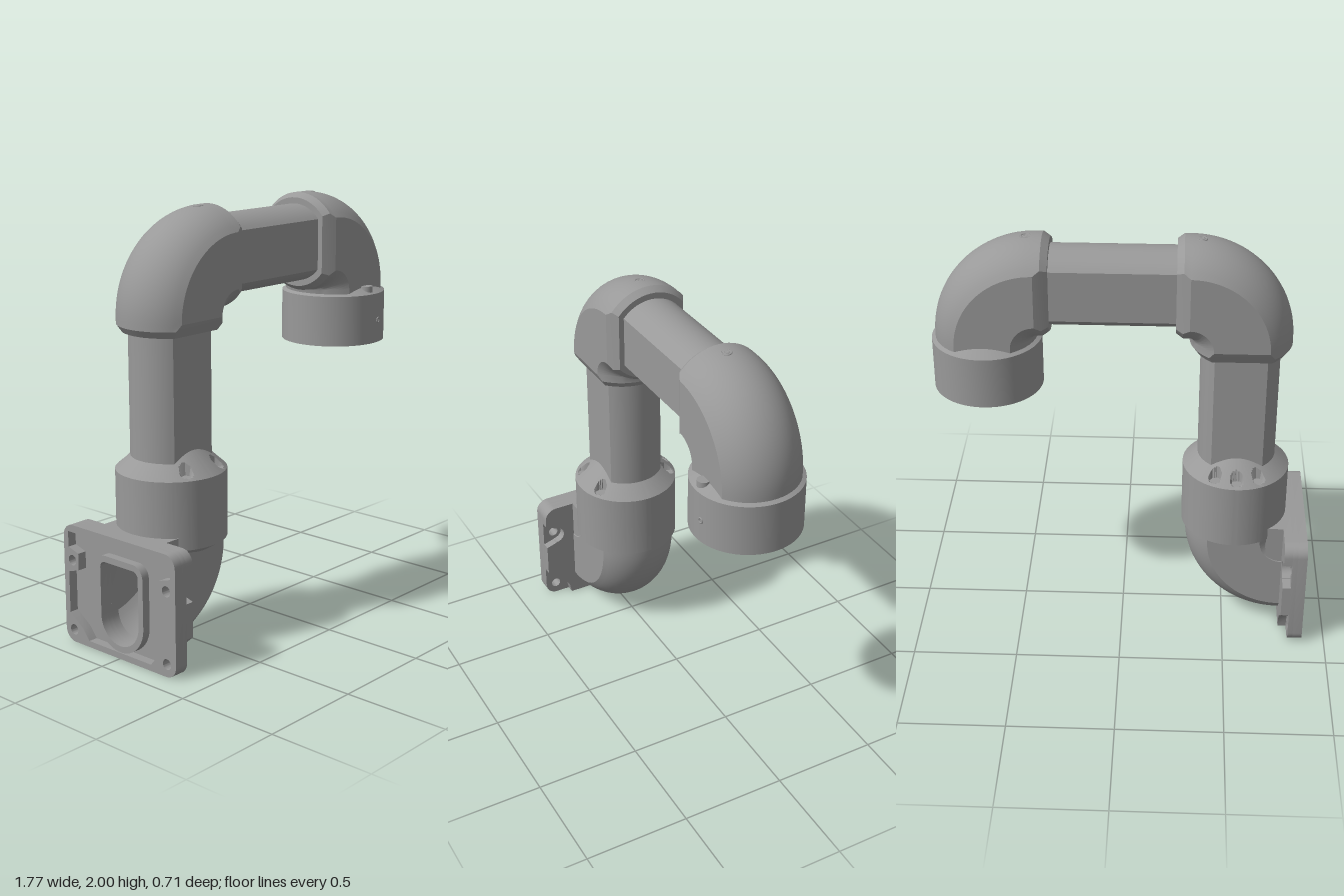
import * as THREE from 'three';
import { toCreasedNormals } from 'three/addons/utils/BufferGeometryUtils.js';

const grey = new THREE.MeshStandardMaterial({ color: 0x999999, side: THREE.DoubleSide });
grey.name = 'mid grey';

const BEND = 0.238, R = 0.237, W = 0.2;      // elbow bend radius, section radius, half width
const ARM_X = -0.5425, ARM_Y = 1.765, END_X = 0.63;

// Circle of radius r with flat sides cut at z = +-w, as [u, z] pairs
function section(r, w) {
  const m = Math.asin(w / r), pts = [];
  for (const mid of [0, Math.PI])
    for (let i = 0; i <= 16; i++) {
      const a = mid - m + (2 * m * i) / 16;
      pts.push([r * Math.cos(a), -r * Math.sin(a)]);
    }
  return pts;
}

// Skin over rings of equal point count
function loft(rings, capStart = true, capEnd = true) {
  const n = rings[0].length, pos = rings.flat(2), idx = [];
  for (let i = 0; i < rings.length - 1; i++)
    for (let j = 0; j < n; j++) {
      const a = i * n + j, b = i * n + (j + 1) % n;
      idx.push(a, b, b + n, a, b + n, a + n);
    }
  const last = (rings.length - 1) * n;
  for (let j = 1; j < n - 1; j++) {
    if (capStart) idx.push(0, j + 1, j);
    if (capEnd) idx.push(last, last + j, last + j + 1);
  }
  const g = new THREE.BufferGeometry();
  g.setAttribute('position', new THREE.Float32BufferAttribute(pos, 3));
  g.setIndex(idx);
  return toCreasedNormals(g, 0.45);
}

// Quarter elbow round the origin: starts pointing down at angle 0, ends pointing to -x at 90 degrees.
// Each end is a list of [distance out, radius, half width], nearest first.
function elbow(endA, endB, openA) {
  const ring = (angle, out, r, w) => {
    const c = Math.cos(angle), s = Math.sin(angle);
    return section(r, w).map(([u, z]) => [(BEND + u) * c - out * s, (BEND + u) * s + out * c, z]);
  };
  const rings = [...endA].reverse().map(([d, r, w]) => ring(0, -d, r, w));
  for (let i = 0; i <= 24; i++) rings.push(ring((i / 24) * Math.PI / 2, 0, R, W));
  for (const [d, r, w] of endB) rings.push(ring(Math.PI / 2, d, r, w));
  return loft(rings, !openA);
}

const pipe = (length) => loft([0, length].map((y) => section(0.185, 0.14).map(([u, z]) => [u, y, z])));

function lathe(points, segs = 96) {
  return new THREE.LatheGeometry(points.map(([x, y]) => new THREE.Vector2(x, y)), segs);
}

// Closed shape from half an outline, mirrored across the middle
function mirrored(half, Type = THREE.Shape) {
  const pts = half.map(([s, y]) => new THREE.Vector2(s, y));
  const other = half.map(([s, y]) => new THREE.Vector2(-s, y)).reverse();
  return new Type([...pts, ...other]);
}

// Points of an arc from angle a to b
function arc(cx, cy, r, a, b, n = 8) {
  return Array.from({ length: n + 1 }, (_, i) => {
    const t = a + ((b - a) * i) / n;
    return [cx + r * Math.cos(t), cy + r * Math.sin(t)];
  });
}

const HALF = Math.PI / 2;
const plateOutline = () => [...arc(0.295, 0.06, 0.06, -HALF, 0), ...arc(0.295, 0.51, 0.06, 0, HALF)];
const slot = (grow) => [...arc(0, 0.18, 0.12 + grow, -HALF + 0.01, 0, 16), ...arc(0.09, 0.41, 0.03 + grow, 0, HALF)];

function wallPlate(add) {
  const slab = (name, shape, x0, x1, slotted, screws) => {
    if (slotted) shape.holes.push(mirrored(slot(0), THREE.Path));
    if (screws)
      for (const s of [-0.3, 0.3])
        for (const y of [0.06, 0.4])
          shape.holes.push(new THREE.Path().absarc(s, y, 0.025, 0, Math.PI * 2, true));
    const g = new THREE.ExtrudeGeometry(shape, { depth: x1 - x0, bevelEnabled: false, curveSegments: 20 });
    g.rotateY(HALF);
    add(name, toCreasedNormals(g, 0.5), x0, 0, 0);
  };
  // Face layer, cut away round the four screws
  slab('plateFace', mirrored([
    [0.225, 0], [0.235, 0.05], [0.265, 0.1], [0.31, 0.13], [0.355, 0.17], [0.355, 0.335],
    [0.3, 0.352], ...arc(0.3, 0.4, 0.045, -HALF, -3 * HALF, 10), [0.355, 0.468],
    ...arc(0.295, 0.51, 0.06, 0, HALF),
  ]), -0.82, -0.78, true, false);
  slab('plateCore', mirrored(plateOutline()), -0.845, -0.82, true, true);
  // Hollow back with a rim, screw bosses and a seal ring
  const rim = mirrored(plateOutline());
  rim.holes.push(mirrored([
    [0.2, 0.03], [0.24, 0.08], [0.325, 0.14], [0.325, 0.34], [0.26, 0.36],
    [0.26, 0.44], [0.325, 0.46], [0.325, 0.535],
  ], THREE.Path));
  slab('plateRim', rim, -0.89, -0.845, false, true);
  slab('plateSealRing', mirrored(slot(0.03)), -0.885, -0.845, true, false);
  // Shoulder between plate and elbow
  for (const s of [-1, 1])
    add('plateShoulderSide', new THREE.BoxGeometry(0.09, 0.22, 0.065), -0.745, 0.46, s * 0.165);
  add('plateShoulder', new THREE.BoxGeometry(0.05, 0.128, 0.3), -0.765, 0.506, 0);
}

export function createModel() {
  const group = new THREE.Group();
  const add = (name, geometry, x = 0, y = 0, z = 0, turn = 0) => {
    const mesh = new THREE.Mesh(geometry, grey);
    mesh.name = name;
    mesh.position.set(x, y, z);
    mesh.rotation.z = turn;
    group.add(mesh);
    return mesh;
  };

  wallPlate(add);

  // Elbows
  const collar = [[0.03, R, 0.185], [0.062, 0.214, 0.165]];
  add('lowerElbow', elbow([[0.02, R, W]], [[0.04, R, W]], true), -0.78, 0.486, 0, 3 * HALF);
  add('upperElbow', elbow(collar, collar), ARM_X + BEND, ARM_Y - BEND, 0, HALF);
  add('endElbow', elbow([[0.06, R, W]], collar), END_X - BEND, ARM_Y - BEND, 0);

  // Flat-sided pipes
  add('uprightPipe', pipe(0.68), ARM_X, 0.82, 0);
  add('crossPipe', pipe(0.64), 0.365, ARM_Y, 0, HALF);

  // Lower swivel socket, its cone sunk where the screws sit
  const cone = Array.from({ length: 21 }, (_, i) => [0.255 - 0.0062 * i, 0.83 + 0.0056 * i]);
  const socket = lathe([[0.15, 0.45], [0.2, 0.475], [0.255, 0.51], ...cone], 180);
  const p = socket.attributes.position;
  const pits = [[-0.1, 0.19], [0.1, 0.19], [-0.1, -0.19], [0.1, -0.19], [0, -0.215]];
  for (let i = 0; i < p.count; i++)
    if (p.getY(i) > 0.84 && pits.some(([x, z]) => Math.hypot(p.getX(i) - x, p.getZ(i) - z) < 0.029))
      p.setY(i, 0.838);
  add('lowerSocket', toCreasedNormals(socket, 0.4), ARM_X, 0, 0);

  // End socket with a stepped open mouth
  add('endSocket', toCreasedNormals(lathe([
    [0, 1.45], [0.15, 1.45], [0.15, 1.34], [0.2, 1.34], [0.2, 1.275], [0.23, 1.275],
    [0.23, 1.255], [0.255, 1.255], [0.255, 1.5], [0.19, 1.535],
  ]), 0.4), END_X, 0, 0);
  for (let i = 0; i < 6; i++) {
    const a = (i * Math.PI) / 3;
    const lug = add('socketLug', new THREE.BoxGeometry(0.05, 0.07, 0.03),
      END_X + 0.21 * Math.cos(a), 1.295, 0.21 * Math.sin(a));
    lug.rotation.y = -a;
  }
  add('socketScrew', new THREE.CylinderGeometry(0.03, 0.03, 0.05, 24), 0.625, 1.512, 0.213);

  // Small set-screw rims
  const sideRim = add('setScrewRim', new THREE.TorusGeometry(0.012, 0.004, 8, 24), 0.67, 1.365, 0.252);
  sideRim.rotation.y = 0.16;
  for (const x of [-0.35, 0.435])
    for (const r of [0.022, 0.01])
      add('topScrewRim', new THREE.TorusGeometry(r, 0.004, 8, 24), x, 1.997, 0).rotation.x = HALF;

  return group;
}
